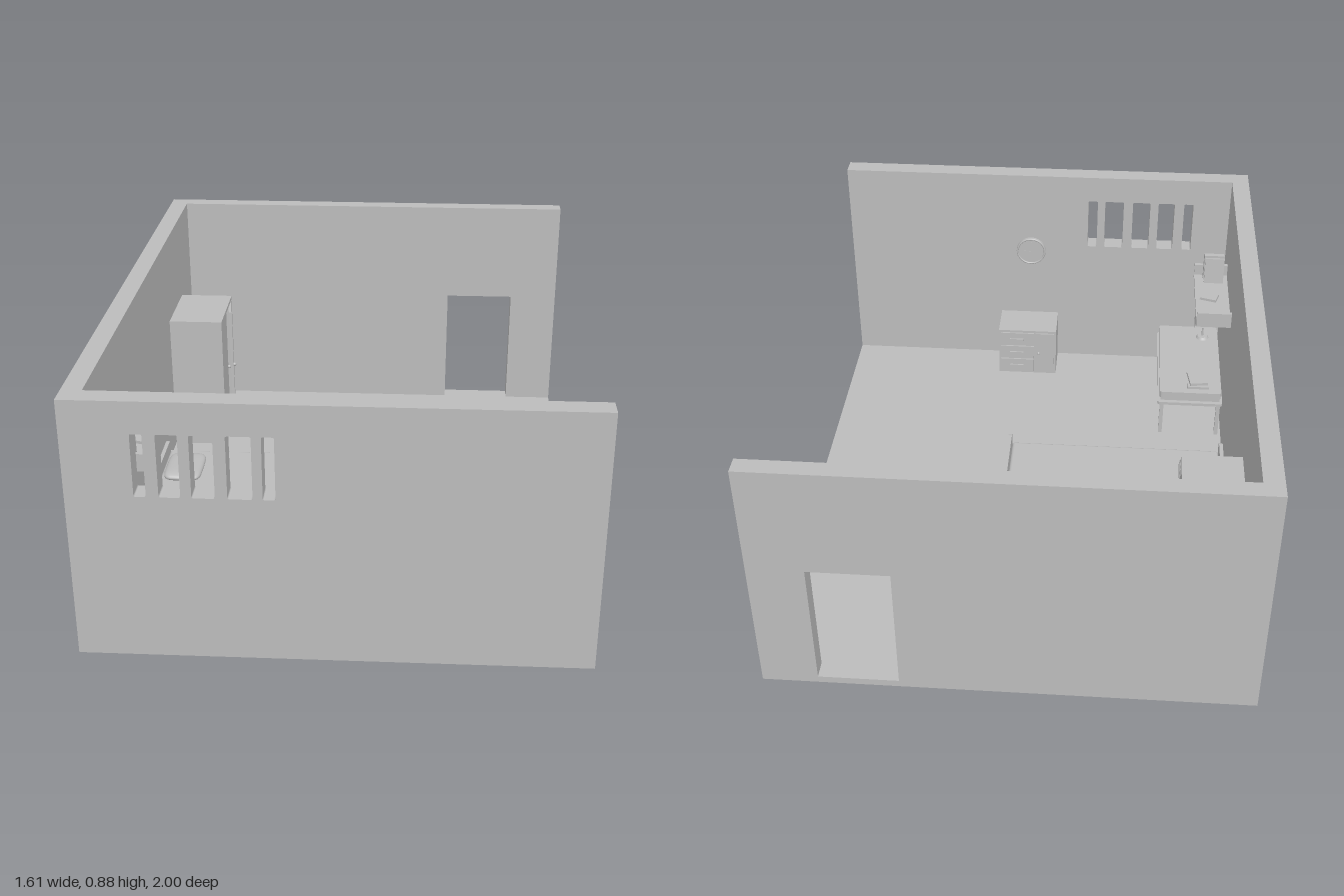
import * as THREE from 'three';
import { RoundedBoxGeometry } from 'three/addons/geometries/RoundedBoxGeometry.js';

const grey = new THREE.MeshStandardMaterial({ color: 0xbcbcbc, side: THREE.DoubleSide });
grey.name = 'plain grey';

function add(parent, name, geo, x = 0, y = 0, z = 0) {
  const m = new THREE.Mesh(geo, grey);
  m.name = name;
  m.position.set(x, y, z);
  parent.add(m);
  return m;
}

// Box given by its limits on each axis
function box(parent, name, x0, x1, y0, y1, z0, z1, radius = 0) {
  const s = [x1 - x0, y1 - y0, z1 - z0];
  const geo = radius ? new RoundedBoxGeometry(...s, 3, radius) : new THREE.BoxGeometry(...s);
  return add(parent, name, geo, (x0 + x1) / 2, (y0 + y1) / 2, (z0 + z1) / 2);
}

function roundRect(path, x0, x1, y0, y1, r) {
  path.moveTo(x0 + r, y0);
  path.lineTo(x1 - r, y0); path.quadraticCurveTo(x1, y0, x1, y0 + r);
  path.lineTo(x1, y1 - r); path.quadraticCurveTo(x1, y1, x1 - r, y1);
  path.lineTo(x0 + r, y1); path.quadraticCurveTo(x0, y1, x0, y1 - r);
  path.lineTo(x0, y0 + r); path.quadraticCurveTo(x0, y0, x0 + r, y0);
  return path;
}

function extrude(shape, depth) {
  return new THREE.ExtrudeGeometry(shape, { depth, bevelEnabled: false, curveSegments: 6 });
}

function group(parent, name) {
  const g = new THREE.Group();
  g.name = name;
  parent.add(g);
  return g;
}

const X = 0.805, H = 0.875, F = 0.025;

function buildRoom(root) {
  const room = group(root, 'room');
  box(room, 'floor', -X, X, 0, F, -1, 1);
  box(room, 'sideWall', -X, -0.74, F, H, -0.94, 0.93);

  // Front wall with five window slots
  const front = new THREE.Shape([[-X, F], [X, F], [X, H], [-X, H]].map(p => new THREE.Vector2(...p)));
  for (const [a, b] of [[-0.595, -0.558], [-0.52, -0.455], [-0.422, -0.352], [-0.315, -0.24], [-0.21, -0.172]])
    front.holes.push(roundRect(new THREE.Path(), a, b, 0.563, 0.77, 0.006));
  add(room, 'windowWall', extrude(front, 0.07), 0, 0, 0.93);

  // Back wall with a doorway down to the floor
  const back = new THREE.Shape([[-X, F], [0.354, F], [0.354, 0.49], [0.62, 0.49], [0.62, F], [X, F], [X, H], [-X, H]]
    .map(p => new THREE.Vector2(...p)));
  add(room, 'doorWall', extrude(back, 0.06), 0, 0, -1);
}

function buildBed(root) {
  const bed = group(root, 'bed');
  // End boards with rounded tops and an arched foot
  const s = new THREE.Shape();
  s.moveTo(-0.185, F); s.lineTo(-0.158, F);
  s.quadraticCurveTo(-0.145, 0.05, -0.12, 0.05);
  s.lineTo(0.12, 0.05);
  s.quadraticCurveTo(0.145, 0.05, 0.158, F);
  s.lineTo(0.185, F); s.lineTo(0.185, 0.13);
  s.quadraticCurveTo(0.185, 0.157, 0.158, 0.157);
  s.lineTo(-0.158, 0.157);
  s.quadraticCurveTo(-0.185, 0.157, -0.185, 0.13);
  for (const [name, x] of [['headboard', -0.73], ['footboard', 0.08]]) {
    const b = add(bed, name, extrude(s, 0.014), x, 0, -0.004);
    b.rotation.y = Math.PI / 2;
  }
  for (const z of [-0.186, 0.168]) box(bed, 'sideRail', -0.716, 0.08, 0.05, 0.11, z, z + 0.012);
  box(bed, 'mattress', -0.715, 0.079, 0.055, 0.12, -0.174, 0.168, 0.012);
  // Pillow with soft, pinched corners
  const geo = new THREE.SphereGeometry(1, 24, 16), p = geo.attributes.position;
  const soft = (v, e) => Math.sign(v) * Math.pow(Math.abs(v), e);
  for (let i = 0; i < p.count; i++)
    p.setXYZ(i, 0.07 * soft(p.getX(i), 0.4), 0.017 * p.getY(i), 0.102 * soft(p.getZ(i), 0.4));
  geo.computeVertexNormals();
  add(bed, 'pillow', geo, -0.63, 0.134, -0.008);
}

function buildWardrobe(root) {
  const w = group(root, 'wardrobe');
  const x0 = -0.739, x1 = -0.535, y1 = 0.555, z0 = -0.715, z1 = -0.42;
  box(w, 'top', x0, x1, y1 - 0.014, y1, z0, z1);
  box(w, 'base', x0, x1, F, 0.055, z0, z1);
  box(w, 'backPanel', x0, x0 + 0.01, 0.055, y1 - 0.014, z0, z1);
  for (const z of [z0, z1 - 0.012]) box(w, 'sidePanel', x0 + 0.01, x1, 0.055, y1 - 0.014, z, z + 0.012);
  // One shut door, and one slightly ajar on its hinge
  for (const [dir, hinge, angle] of [[-1, z1 - 0.013, 0], [1, z0 + 0.013, 0.15]]) {
    const d = group(w, 'door');
    d.position.set(-0.542, 0, hinge);
    d.rotation.y = angle;
    const ends = [0, dir * 0.133].sort((a, b) => a - b);
    box(d, 'doorPanel', -0.005, 0.005, 0.057, 0.539, ...ends);
    add(d, 'knob', new THREE.SphereGeometry(0.007, 12, 8), 0.01, 0.308, dir * 0.124);
  }
}

function buildDesk(root) {
  const desk = group(root, 'desk');
  const slab = (name, x0, x1, z0, z1, y, h) => {
    const s = add(desk, name, extrude(roundRect(new THREE.Shape(), x0, x1, -z1, -z0, 0.012), h), 0, y, 0);
    s.rotation.x = -Math.PI / 2;
  };
  slab('apronBoard', -0.735, -0.48, 0.38, 0.885, 0.172, 0.012);
  box(desk, 'drawerBox', -0.724, -0.492, 0.184, 0.198, 0.396, 0.87);
  slab('desktop', -0.728, -0.487, 0.392, 0.873, 0.198, 0.027);
  for (const x of [-0.728, -0.505]) for (const z of [0.393, 0.857])
    box(desk, 'leg', x, x + 0.015, F, 0.172, z, z + 0.015);

  // Books lying on the desk
  box(desk, 'lowerBook', -0.68, -0.595, 0.225, 0.235, 0.42, 0.5);
  box(desk, 'upperBook', -0.67, -0.6, 0.235, 0.246, 0.43, 0.515).rotation.y = 0.15;

  // Table lamp with a square tapered shade
  const lamp = group(desk, 'lamp');
  lamp.position.set(-0.665, 0.225, 0.795);
  add(lamp, 'lampBase', new THREE.CylinderGeometry(0.02, 0.026, 0.01, 20), 0, 0.005, 0);
  add(lamp, 'lampPole', new THREE.CylinderGeometry(0.004, 0.004, 0.1, 10), 0, 0.06, 0);
  const shade = new THREE.CylinderGeometry(0.018 * Math.SQRT2, 0.037 * Math.SQRT2, 0.065, 4, 1, true).toNonIndexed();
  shade.computeVertexNormals();
  add(lamp, 'lampShade', shade, 0, 0.103, 0).rotation.y = Math.PI / 4;
}

function buildShelf(root) {
  const shelf = group(root, 'wallShelf');
  box(shelf, 'board', -0.739, -0.608, 0.53, 0.545, 0.403, 0.778);
  for (const z of [0.403, 0.764]) box(shelf, 'shelfEnd', -0.739, -0.608, 0.545, 0.59, z, z + 0.014);
  // Upright books, the last one leaning
  [[0.745, 0.1], [0.726, 0.11]].forEach(([z, h]) =>
    box(shelf, 'standingBook', -0.72, -0.642, 0.545, 0.545 + h, z, z + 0.017));
  box(shelf, 'leaningBook', -0.72, -0.645, 0.546, 0.65, 0.704, 0.716).rotation.x = 0.1;
  box(shelf, 'lyingBook', -0.695, -0.631, 0.545, 0.555, 0.565, 0.615).rotation.y = -0.3;
}

function buildCabinet(root) {
  const c = group(root, 'cabinet');
  box(c, 'cabinetBody', -0.055, 0.185, F, 0.235, 0.775, 0.929);
  // Drawers on one side, door on the other
  box(c, 'cabinetDoor', -0.047, 0.03, 0.035, 0.225, 0.769, 0.775);
  add(c, 'doorKnob', new THREE.SphereGeometry(0.006, 12, 8), 0.018, 0.13, 0.766);
  for (let i = 0; i < 3; i++) {
    const y = 0.035 + i * 0.065;
    box(c, 'drawer', 0.038, 0.177, y, y + 0.06, 0.769, 0.775);
    box(c, 'drawerHandle', 0.082, 0.138, y + 0.027, y + 0.034, 0.763, 0.769);
  }
}

function buildClock(root) {
  const clock = group(root, 'wallClock');
  clock.position.set(0.06, 0.535, 0.93);
  const disc = add(clock, 'clockBody', new THREE.CylinderGeometry(0.06, 0.06, 0.01, 36), 0, 0, -0.005);
  disc.rotation.x = Math.PI / 2;
  add(clock, 'clockRim', new THREE.TorusGeometry(0.056, 0.004, 8, 36), 0, 0, -0.01);
  box(clock, 'minuteHand', -0.0015, 0.0015, 0, 0.042, -0.013, -0.01);
  box(clock, 'hourHand', 0, 0.028, -0.0015, 0.0015, -0.013, -0.01);
}

export function createModel() {
  const root = new THREE.Group();
  root.name = 'bedroom';
  for (const build of [buildRoom, buildBed, buildWardrobe, buildDesk, buildShelf, buildCabinet, buildClock]) build(root);
  return root;
}
